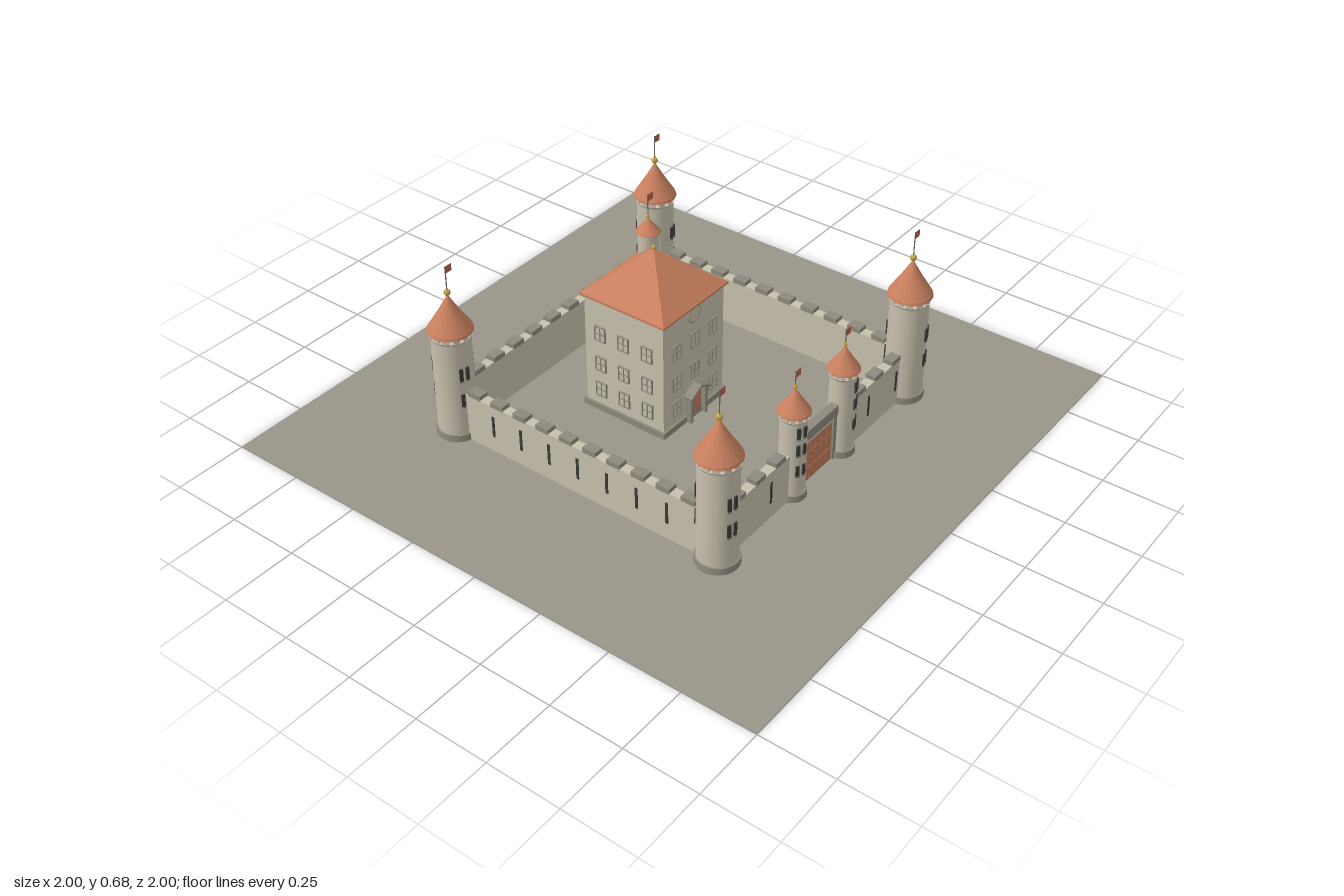
import * as THREE from 'three';

const mat = (name, color, side = THREE.FrontSide) => {
  const m = new THREE.MeshStandardMaterial({ color, side });
  m.name = name;
  return m;
};

export function createModel() {
  const stone = mat('pale stone', 0xc8c0ae);
  const darkStone = mat('dark stone', 0x8d897d);
  const ground = mat('ground', 0x99958a);
  const tile = mat('roof tile', 0xc9805f);
  tile.flatShading = true;
  const wood = mat('wood', 0xbd7a5a);
  const darkWood = mat('dark wood', 0x8a5238);
  const slit = mat('window dark', 0x3c3b3a);
  const gold = mat('gold', 0xc2a24a);
  const metal = mat('pole metal', 0x6e6a62);
  const cloth = mat('flag cloth', 0xb9604c, THREE.DoubleSide);

  const castle = new THREE.Group();
  castle.name = 'castle';

  const add = (parent, name, geo, material, x = 0, y = 0, z = 0, ry = 0) => {
    const m = new THREE.Mesh(geo, material);
    m.name = name;
    m.position.set(x, y, z);
    m.rotation.y = ry;
    parent.add(m);
    return m;
  };
  const box = (p, name, w, h, d, m, x, y, z, ry) =>
    add(p, name, new THREE.BoxGeometry(w, h, d), m, x, y, z, ry);
  const cyl = (p, name, r0, r1, h, m, y, seg = 24) =>
    add(p, name, new THREE.CylinderGeometry(r1, r0, h, seg), m, 0, y + h / 2, 0);
  const group = (p, name, x = 0, y = 0, z = 0, ry = 0) => {
    const g = new THREE.Group();
    g.name = name;
    g.position.set(x, y, z);
    g.rotation.y = ry;
    p.add(g);
    return g;
  };

  // Conical roof with a gold ball, pole and flag
  function spire(p, y, r, h, ball, poleTop) {
    const profile = [[0, 0], [r, 0], [r * 0.97, h * 0.06], [r * 0.47, h * 0.52], [0, h]]
      .map(([a, b]) => new THREE.Vector2(a, b));
    add(p, 'coneRoof', new THREE.LatheGeometry(profile, 24), tile, 0, y, 0);
    cyl(p, 'flagPole', 0.002, 0.002, poleTop - y - h, metal, y + h, 6);
    add(p, 'goldBall', new THREE.SphereGeometry(ball, 12, 8), gold, 0, y + h + ball * 0.6, 0);
    box(p, 'flag', 0.026, 0.024, 0.002, cloth, 0.013, poleTop - 0.013, 0);
  }

  // Round tower: body, foot, small merlons under the roof, paired windows
  function tower(name, x, z, s) {
    const t = group(castle, name, x, 0, z);
    cyl(t, 'towerBody', s.r + 0.001, s.r, s.h, stone, 0);
    cyl(t, 'towerFoot', s.r + 0.008, s.r + 0.006, 0.025, darkStone, 0);
    cyl(t, 'towerRim', s.r, s.r + 0.004, 0.008, stone, s.h - 0.008);
    for (let i = 0; i < 12; i++) {
      const a = (i / 12) * Math.PI * 2, r = s.r - 0.003;
      box(t, 'towerMerlon', s.r * 0.33, 0.018, 0.01, stone,
        Math.sin(a) * r, s.h + 0.009, Math.cos(a) * r, a);
    }
    spire(t, s.h + 0.016, s.r + 0.01, s.roof, s.ball, s.pole);
    for (const deg of s.angles) for (const wy of s.windows) {
      const w = group(t, 'windowPair', 0, wy, 0, deg * Math.PI / 180);
      for (const side of [-1, 1]) {
        const a = side * 0.011 / s.r;
        box(w, 'towerWindow', 0.012, s.wh, 0.009, slit,
          Math.sin(a) * s.r, 0, Math.cos(a) * s.r, a);
        box(w, 'windowSill', 0.015, 0.004, 0.012, darkStone,
          Math.sin(a) * s.r, -s.wh / 2 - 0.002, Math.cos(a) * s.r, a);
      }
    }
  }

  // Battlemented wall along local x, with its outer face on local +z
  function wall(name, x, z, ry, length, slits) {
    const w = group(castle, name, x, 0, z, ry);
    box(w, 'wallBody', length, 0.178, 0.034, stone, 0, 0.089, 0);
    const n = Math.round(length / 0.091), pitch = length / n;
    for (let i = 0; i < n; i++)
      box(w, 'merlon', 0.05, 0.018, 0.036, darkStone, (i - (n - 1) / 2) * pitch, 0.184, 0);
    for (const sx of slits) box(w, 'arrowSlit', 0.01, 0.078, 0.008, slit, sx, 0.1, 0.015);
  }

  box(castle, 'ground', 2, 0.002, 2, ground, 0, 0.001, 0);

  // Corner towers
  const C = 0.515;
  const corner = { r: 0.064, h: 0.376, roof: 0.128, ball: 0.011, pole: 0.62, windows: [0.255, 0.158], wh: 0.046 };
  for (const sx of [-1, 1]) for (const sz of [-1, 1])
    tower('cornerTower', sx * C, sz * C,
      { ...corner, angles: sx > 0 ? [15, 75, 195] : [-15, 80, 195] });

  // Gate towers
  const gateSpec = { r: 0.043, h: 0.302, roof: 0.085, ball: 0.007, pole: 0.462, windows: [0.262, 0.198, 0.12], wh: 0.038 };
  for (const sx of [-1, 1])
    tower('gateTower', sx * 0.135, C, { ...gateSpec, angles: sx > 0 ? [20, 80] : [-20, 80] });

  // Curtain walls
  const seven = [-3, -2, -1, 0, 1, 2, 3].map((i) => i * 0.114);
  wall('rightWall', C, 0, Math.PI / 2, 0.93, seven);
  wall('leftWall', -C, 0, -Math.PI / 2, 0.93, seven);
  wall('backWall', 0, -C, Math.PI, 0.93, seven);
  for (const s of [-1, 1]) wall('frontWall', s * 0.325, C, 0, 0.31, [-0.055 * s, 0.11 * s]);

  // Gate: planked door, frame and lintel
  const gate = group(castle, 'gate', 0, 0, C);
  box(gate, 'gateLintel', 0.19, 0.036, 0.028, darkStone, 0, 0.188, 0);
  box(gate, 'gateHeader', 0.18, 0.012, 0.024, stone, 0, 0.164, 0);
  for (const s of [-1, 1]) box(gate, 'gatePost', 0.016, 0.165, 0.024, darkStone, s * 0.085, 0.083, 0);
  for (let i = 0; i < 5; i++)
    box(gate, 'gatePlank', 0.0295, 0.158, 0.012, wood, (i - 2) * 0.0305, 0.079, 0);
  box(gate, 'gateBacking', 0.154, 0.158, 0.006, darkWood, 0, 0.079, 0);
  for (const y of [0.05, 0.11]) box(gate, 'gateRail', 0.152, 0.006, 0.015, wood, 0, y, 0);

  // Keep
  const keep = group(castle, 'keep', 0, 0, -0.117);
  const K = 0.157;
  box(keep, 'keepBody', K * 2, 0.432, K * 2, stone, 0, 0.216, 0);
  box(keep, 'keepFoot', K * 2 + 0.016, 0.025, K * 2 + 0.016, darkStone, 0, 0.0125, 0);
  box(keep, 'eaves', 0.336, 0.008, 0.336, tile, 0, 0.432, 0);
  add(keep, 'keepRoof', new THREE.ConeGeometry(0.167 * Math.SQRT2, 0.144, 4), tile, 0, 0.507, 0, Math.PI / 4);
  add(keep, 'keepBall', new THREE.SphereGeometry(0.008, 12, 8), gold, 0, 0.583, 0);

  // Keep windows: pane, frame and crossbars on every side
  for (let side = 0; side < 4; side++) {
    const face = group(keep, 'keepFace', 0, 0, 0, side * Math.PI / 2);
    for (const wy of [0.302, 0.185, 0.085]) for (const wx of [-0.094, 0, 0.094]) {
      if (side === 0 && wx === 0 && wy < 0.1) continue;
      const w = group(face, 'keepWindow', wx, wy, K);
      box(w, 'pane', 0.04, 0.052, 0.004, stone, 0, 0, 0.001);
      for (const s of [-1, 1]) {
        box(w, 'frameSide', 0.003, 0.055, 0.009, darkStone, s * 0.02, 0, 0.002);
        box(w, 'frameRail', 0.043, 0.003, 0.009, darkStone, 0, s * 0.026, 0.002);
      }
      box(w, 'mullion', 0.003, 0.052, 0.007, darkStone, 0, 0, 0.002);
      box(w, 'crossbar', 0.04, 0.003, 0.007, darkStone, 0, 0, 0.002);
    }
  }

  // Round window above the entrance
  const disc = add(keep, 'roundWindow', new THREE.CylinderGeometry(0.03, 0.03, 0.006, 28), stone, 0, 0.4, K + 0.001);
  disc.rotation.x = Math.PI / 2;
  add(keep, 'roundWindowRim', new THREE.TorusGeometry(0.03, 0.002, 6, 28), darkStone, 0, 0.4, K + 0.003);

  // Entrance with a small gabled hood
  const porch = group(keep, 'porch', 0, 0, K);
  box(porch, 'porchDoor', 0.06, 0.1, 0.008, wood, 0, 0.05, 0.004);
  for (const s of [-1, 1]) {
    box(porch, 'porchPost', 0.012, 0.105, 0.025, darkStone, s * 0.038, 0.0525, 0.012);
    const slope = box(porch, 'porchRoof', 0.062, 0.007, 0.035, darkStone, s * 0.025, 0.118, 0.016);
    slope.rotation.z = -s * 0.5;
  }

  // Corner turret on the keep
  const turret = group(castle, 'turret', 0.113, 0, -0.228);
  const round = [[0, 0.438], [0.016, 0.441], [0.028, 0.45], [0.033, 0.462], [0.033, 0.546]]
    .map(([a, b]) => new THREE.Vector2(a, b));
  add(turret, 'turretBody', new THREE.LatheGeometry(round, 20), stone);
  spire(turret, 0.545, 0.041, 0.052, 0.007, 0.68);

  return castle;
}
